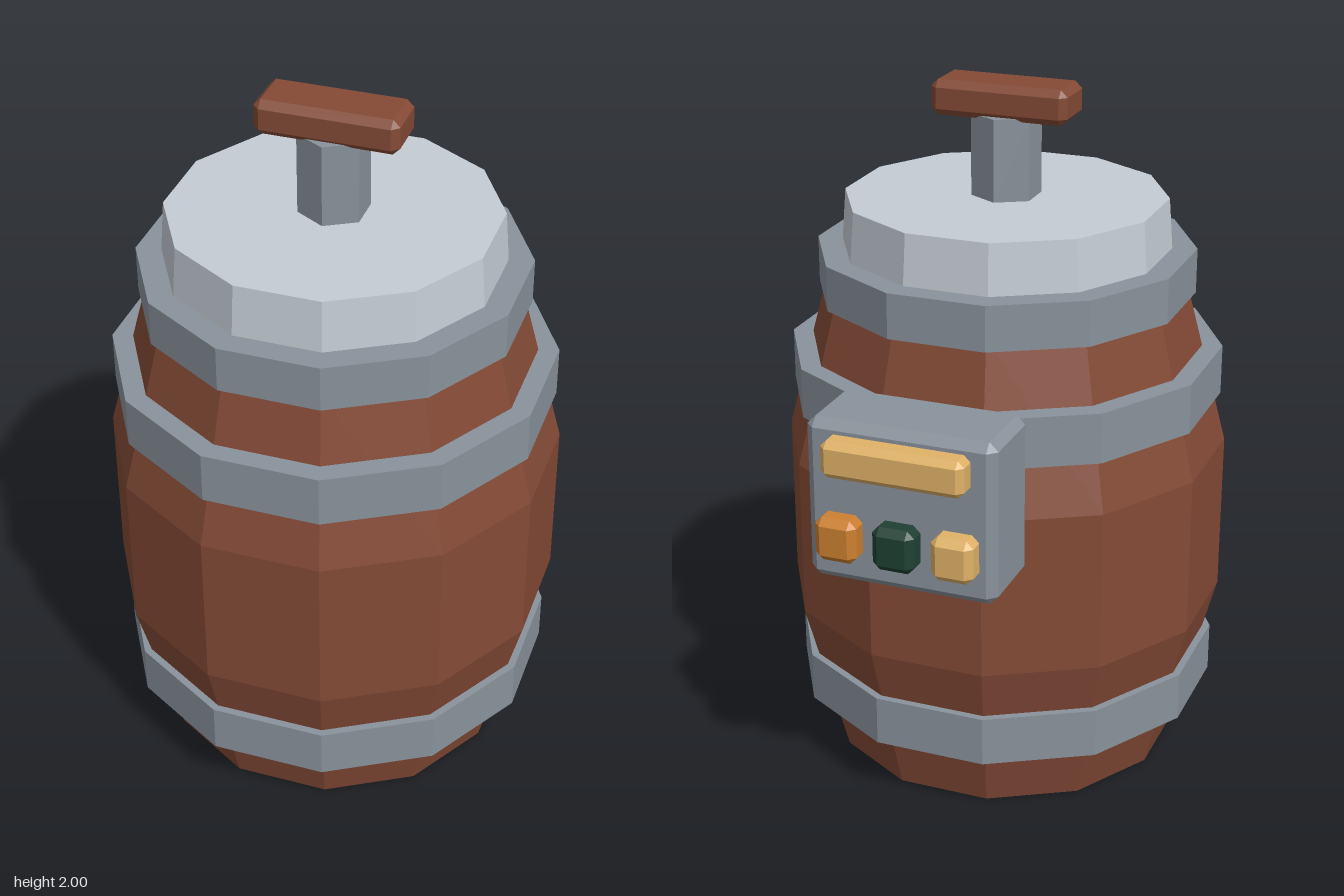
import * as THREE from 'three';
import { ConvexGeometry } from 'three/addons/geometries/ConvexGeometry.js';

const SIDES = 12;
const AXIS_Z = 0.11; // barrel axis, set forward to balance the panel behind

const mat = (color) => new THREE.MeshStandardMaterial({ color, flatShading: true });

// Box with a single flat chamfer on every edge and corner
function chamferBox(w, h, d, b) {
  const points = [];
  for (const x of [-1, 1]) for (const y of [-1, 1]) for (const z of [-1, 1])
    for (let axis = 0; axis < 3; axis++) {
      const half = [w / 2, h / 2, d / 2].map((s, i) => (i === axis ? s : s - b));
      points.push(new THREE.Vector3(x * half[0], y * half[1], z * half[2]));
    }
  return new ConvexGeometry(points);
}

// Twelve-sided drum with flats facing the axes; sizes are centre-to-flat
function drum(topFlat, bottomFlat, y0, y1) {
  const k = 1 / Math.cos(Math.PI / SIDES);
  return new THREE.CylinderGeometry(topFlat * k, bottomFlat * k, y1 - y0, SIDES)
    .rotateY(Math.PI / SIDES)
    .translate(0, (y0 + y1) / 2, AXIS_Z);
}

export function createModel() {
  const model = new THREE.Group();
  model.name = 'barrel';
  const wood = mat(0x844a36);
  const metal = mat(0x89929b);
  const lidMetal = mat(0xc4ccd4);
  const amber = mat(0xe0b268);
  const orange = mat(0xcc8030);
  const green = mat(0x1f4032);

  const add = (name, geometry, material, x = 0, y = 0, z = 0) => {
    const mesh = new THREE.Mesh(geometry, material);
    mesh.name = name;
    mesh.position.set(x, y, z);
    model.add(mesh);
  };

  // Bulging wooden body
  const k = 1 / Math.cos(Math.PI / SIDES);
  const profile = [[0, 0], [0.5, 0], [0.622, 0.48], [0.622, 0.95], [0.5, 1.43], [0, 1.43]]
    .map(([r, y]) => new THREE.Vector2(r * k, y));
  add('body', new THREE.LatheGeometry(profile, SIDES).rotateY(Math.PI / SIDES), wood, 0, 0, AXIS_Z);

  // Metal hoops
  add('lowerHoop', drum(0.605, 0.605, 0.185, 0.33), metal);
  add('upperHoop', drum(0.605, 0.605, 1.095, 1.24), metal);
  add('rimHoop', drum(0.525, 0.525, 1.4, 1.53), metal);

  // Lid and handle
  add('lid', drum(0.445, 0.457, 1.52, 1.675), lidMetal);
  add('handlePost', new THREE.CylinderGeometry(0.1, 0.1, 0.25, 6), metal, 0, 1.785, AXIS_Z);
  add('handleGrip', chamferBox(0.4, 0.1, 0.16, 0.02), wood, 0, 1.95, AXIS_Z);

  // Control panel on the back
  add('panel', chamferBox(0.54, 0.465, 0.245, 0.025), metal, 0, 1.0225, -0.5525);
  add('panelBar', chamferBox(0.405, 0.105, 0.11, 0.018), amber, 0, 1.167, -0.68);
  [['leftButton', orange], ['middleButton', green], ['rightButton', amber]].forEach(([name, m], i) =>
    add(name, chamferBox(0.12, 0.125, 0.11, 0.02), m, 0.166 * (1 - i), 0.933, -0.68));

  return model;
}
